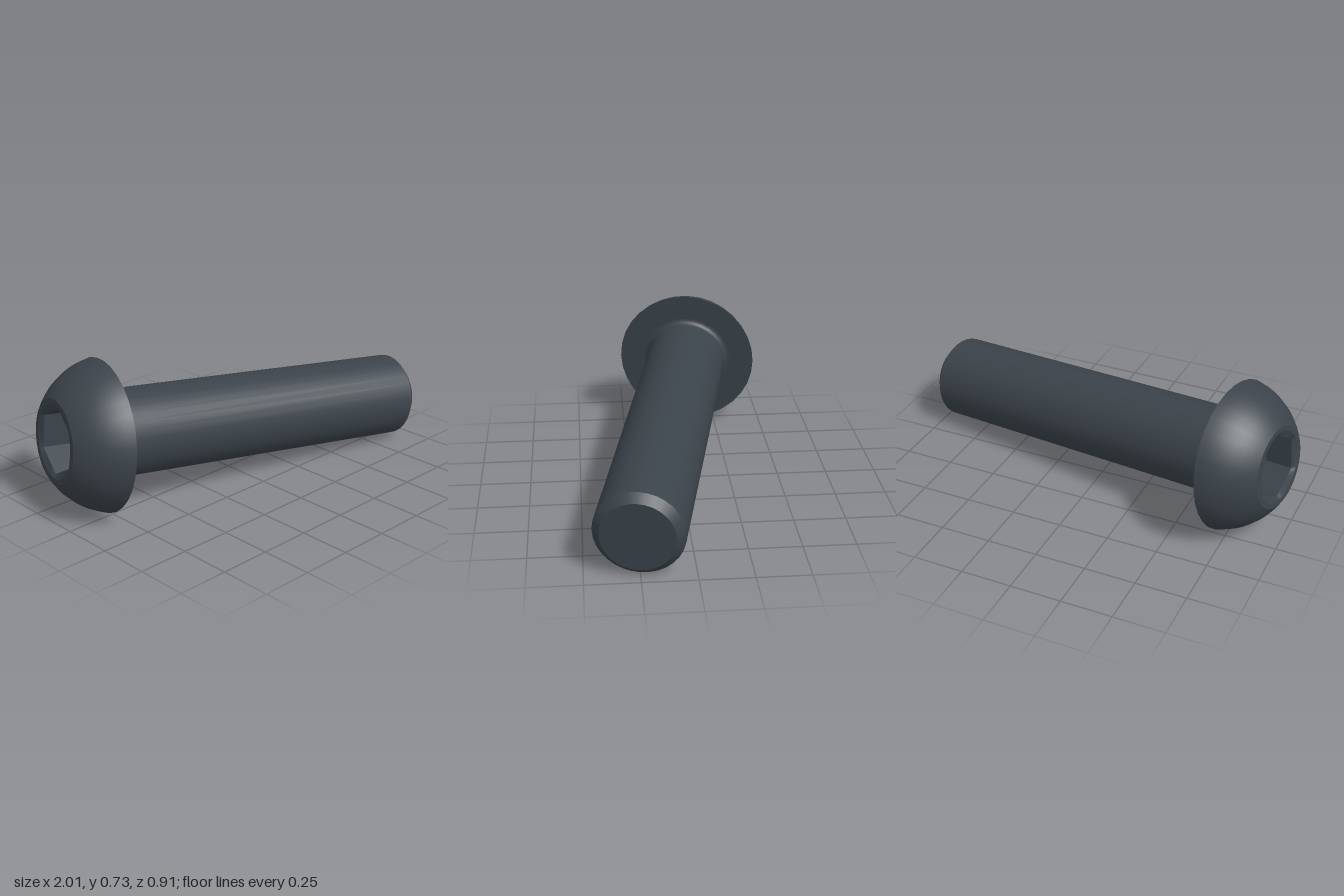
import * as THREE from 'three';

const SIDES = 32;
const HEAD_R = 0.364, HEAD_H = 0.231, FACE_R = 0.2;   // button head
const SHANK_R = 0.208, LENGTH = 1.742, CHAMFER = 0.037; // shank
const HEX_R = 0.16, SINK_R = 0.174, FLOOR_Y = -0.085, MOUTH_Y = -0.217; // socket

export function createModel() {
  const steel = new THREE.MeshStandardMaterial({ color: 0x3b434a });
  steel.name = 'darkSteel';

  const model = new THREE.Group();
  model.name = 'buttonHeadBolt';

  // Local +y runs from the underside of the head to the tip, local z is nearly up
  const axis = new THREE.Vector3(0.974, -0.0915, 0.2077).normalize();
  const side = new THREE.Vector3().crossVectors(axis, new THREE.Vector3(0, 1, 0)).normalize();
  const up = new THREE.Vector3().crossVectors(side, axis);
  const bolt = new THREE.Group();
  bolt.name = 'bolt';
  bolt.quaternion.setFromRotationMatrix(new THREE.Matrix4().makeBasis(side, axis, up));
  bolt.position.set(-0.73, 0.364, -0.1);
  model.add(bolt);

  const add = (name, geometry) => {
    const mesh = new THREE.Mesh(geometry, steel);
    mesh.name = name;
    bolt.add(mesh);
  };
  const lathe = (points, sides = SIDES) =>
    new THREE.LatheGeometry(points.map(([r, y]) => new THREE.Vector2(r, y)), sides);

  // Dome: an arc centred on the axis, from the flat face to the rim
  const centreY = (HEAD_R ** 2 - FACE_R ** 2 - HEAD_H ** 2) / (2 * HEAD_H);
  const domeR = Math.hypot(HEAD_R, centreY);
  const a0 = Math.atan2(FACE_R, HEAD_H + centreY), a1 = Math.atan2(HEAD_R, centreY);
  const dome = [];
  for (let i = 0; i <= 10; i++) {
    const a = a0 + (a1 - a0) * i / 10;
    dome.push([domeR * Math.sin(a), centreY - domeR * Math.cos(a)]);
  }
  add('headDome', lathe(dome));
  add('headFace', lathe([[SINK_R, -HEAD_H], [FACE_R, -HEAD_H]]));
  add('headUnderside', lathe([[HEAD_R, 0], [SHANK_R + 0.028, 0]]));

  // Fillet under the head runs smoothly into the shank
  const fillet = [];
  for (let i = 0; i <= 5; i++) {
    const a = i / 5 * Math.PI / 2;
    fillet.push([SHANK_R + 0.028 * (1 - Math.sin(a)), 0.028 * (1 - Math.cos(a))]);
  }
  add('fillet', lathe(fillet));
  add('shank', lathe([[SHANK_R, 0.028], [SHANK_R, LENGTH - CHAMFER]]));
  add('tipChamfer', lathe([[SHANK_R, LENGTH - CHAMFER], [SHANK_R - CHAMFER, LENGTH]]));
  add('tipFace', lathe([[SHANK_R - CHAMFER, LENGTH], [0, LENGTH]]));

  // Hexagonal socket: floor and flat walls
  const socket = lathe([[0, FLOOR_Y], [HEX_R, FLOOR_Y], [HEX_R, MOUTH_Y]], 6).toNonIndexed();
  socket.computeVertexNormals();
  add('hexSocket', socket);

  // Countersink: a cone whose inner ring is drawn in to the hexagon
  const sink = lathe([[HEX_R, MOUTH_Y], [SINK_R, -HEAD_H]], 96);
  const pos = sink.attributes.position;
  const step = Math.PI / 3;
  for (let i = 0; i < pos.count; i += 2) {
    const phi = (i / 2) / 96 * Math.PI * 2;
    const r = HEX_R * Math.cos(step / 2) / Math.cos((phi % step) - step / 2);
    pos.setXYZ(i, r * Math.sin(phi), MOUTH_Y, r * Math.cos(phi));
  }
  sink.computeVertexNormals();
  add('socketCountersink', sink);

  return model;
}
